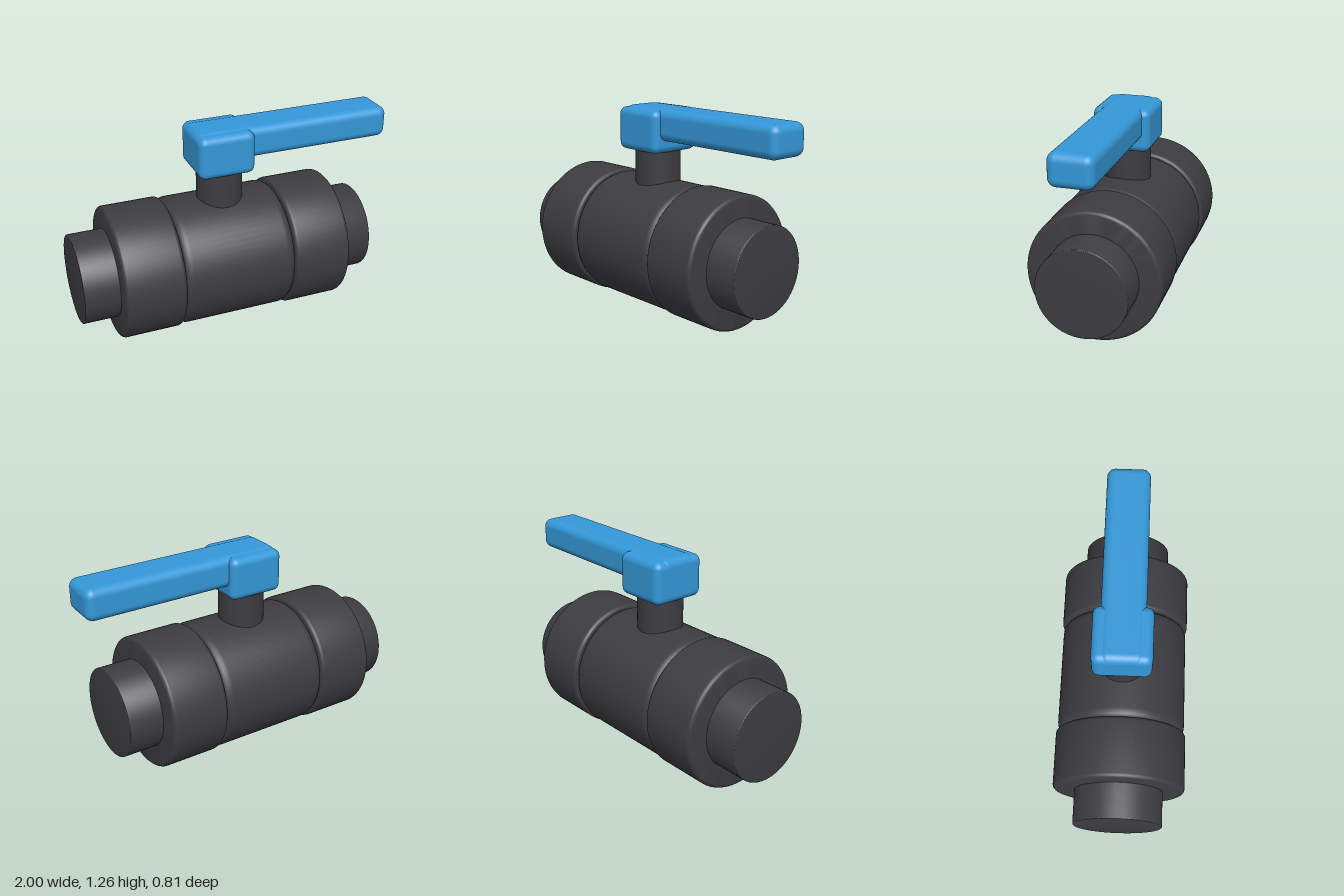
import * as THREE from 'three';
import { RoundedBoxGeometry } from 'three/addons/geometries/RoundedBoxGeometry.js';
import { toCreasedNormals } from 'three/addons/utils/BufferGeometryUtils.js';

const AXIS_Y = 0.41;

export function createModel() {
  const model = new THREE.Group();
  model.name = 'ballValve';

  const charcoal = new THREE.MeshStandardMaterial({ color: 0x3d3c41 });
  charcoal.name = 'charcoal plastic';
  const blue = new THREE.MeshStandardMaterial({ color: 0x3498d8 });
  blue.name = 'blue handle';

  function add(name, geometry, material, x, y, z = 0) {
    const mesh = new THREE.Mesh(geometry, material);
    mesh.name = name;
    mesh.position.set(x, y, z);
    model.add(mesh);
    return mesh;
  }

  // Solid drum lying along x, with elliptically rounded rims
  function drum(name, x0, x1, radius, rimX, rimR) {
    const half = (x1 - x0) / 2;
    const points = [new THREE.Vector2(0, -half)];
    for (const end of [-1, 1]) {
      for (let i = 0; i <= 5; i++) {
        const a = ((end < 0 ? i : 5 - i) / 5) * Math.PI / 2;
        points.push(new THREE.Vector2(
          radius - rimR * (1 - Math.sin(a)),
          end * (half - rimX * (1 - Math.cos(a)))
        ));
      }
    }
    points.push(new THREE.Vector2(0, half));
    const geometry = toCreasedNormals(new THREE.LatheGeometry(points, 72), 0.6);
    geometry.rotateZ(-Math.PI / 2);
    return add(name, geometry, charcoal, (x0 + x1) / 2, AXIS_Y);
  }

  // Pipe, central body and the two union nuts
  drum('pipe', -1, 0.86, 0.273, 0.006, 0.006);
  drum('valveBody', -0.42, 0.286, 0.398, 0.055, 0.04);
  drum('leftNut', 0.284, 0.648, 0.407, 0.025, 0.025);
  drum('rightNut', -0.786, -0.416, 0.407, 0.025, 0.025);

  // Stem rising out of the body
  add('stem', new THREE.CylinderGeometry(0.14, 0.14, 0.4, 48), charcoal, -0.067, 0.82);

  // Handle hub and lever
  add('handleHub', new RoundedBoxGeometry(0.35, 0.262, 0.35, 5, 0.045), blue, -0.07, 1.125);
  add('handleLever', new RoundedBoxGeometry(1.245, 0.192, 0.262, 5, 0.05), blue, 0.3775, 1.167);

  return model;
}
